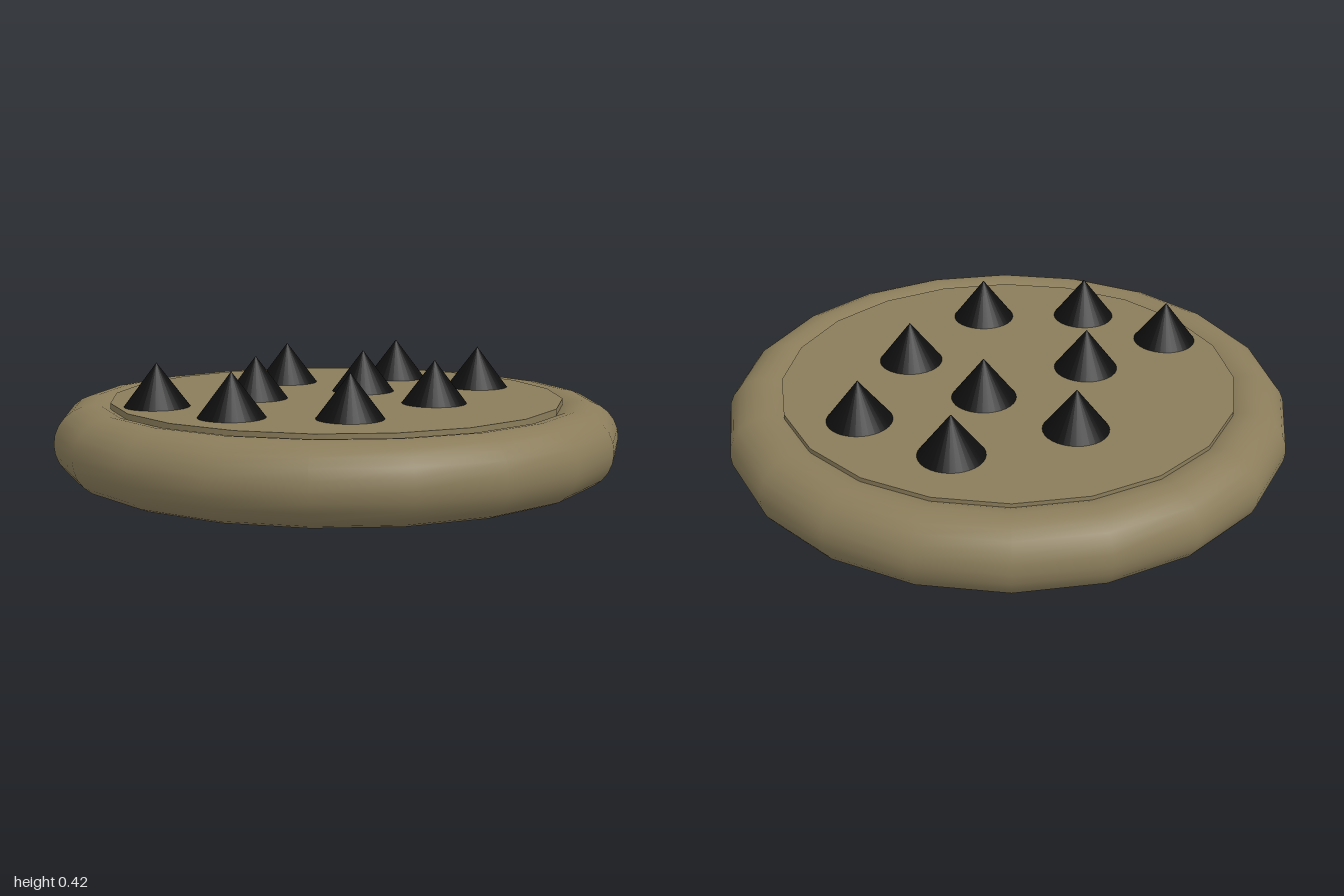
import * as THREE from 'three';

const TUBE = 0.133;   // crust tube radius, also the height of its centre line
const RING = 0.867;   // crust centre line radius
const SIDES = 20;

export function createModel() {
  const group = new THREE.Group();
  const dough = new THREE.MeshStandardMaterial({ color: 0x8b7d5b });
  const dark = new THREE.MeshStandardMaterial({ color: 0x0e0e0e });

  const add = (name, geometry, material, x, y, z) => {
    const mesh = new THREE.Mesh(geometry, material);
    mesh.name = name;
    mesh.position.set(x, y, z);
    group.add(mesh);
  };

  // Rounded outer ring, lying flat
  const ring = new THREE.TorusGeometry(RING, TUBE, 24, SIDES).rotateX(-Math.PI / 2);
  add('crust', ring, dough, 0, TUBE, 0);

  // Disc filling the upper half of the ring, set slightly off centre
  const discHeight = 0.137;
  const disc = new THREE.CylinderGeometry(0.805, 0.805, discHeight, SIDES);
  add('filling', disc, dough, 0.01, TUBE + discHeight / 2, -0.01);

  // Pointed chips passing through the disc down to its underside
  const chipHeight = 0.288;
  const chip = new THREE.ConeGeometry(0.217, chipHeight, 32);
  const spots = [
    [-0.58, -0.31], [-0.22, -0.19], [0.17, -0.4],
    [0.54, -0.16], [0.17, -0.02], [-0.58, 0.05],
    [-0.35, 0.36], [0.1, 0.36], [0.54, 0.23],
  ];
  spots.forEach(([x, z], i) =>
    add(`chip${i + 1}`, chip, dark, x, TUBE - 0.001 + chipHeight / 2, z));

  return group;
}
